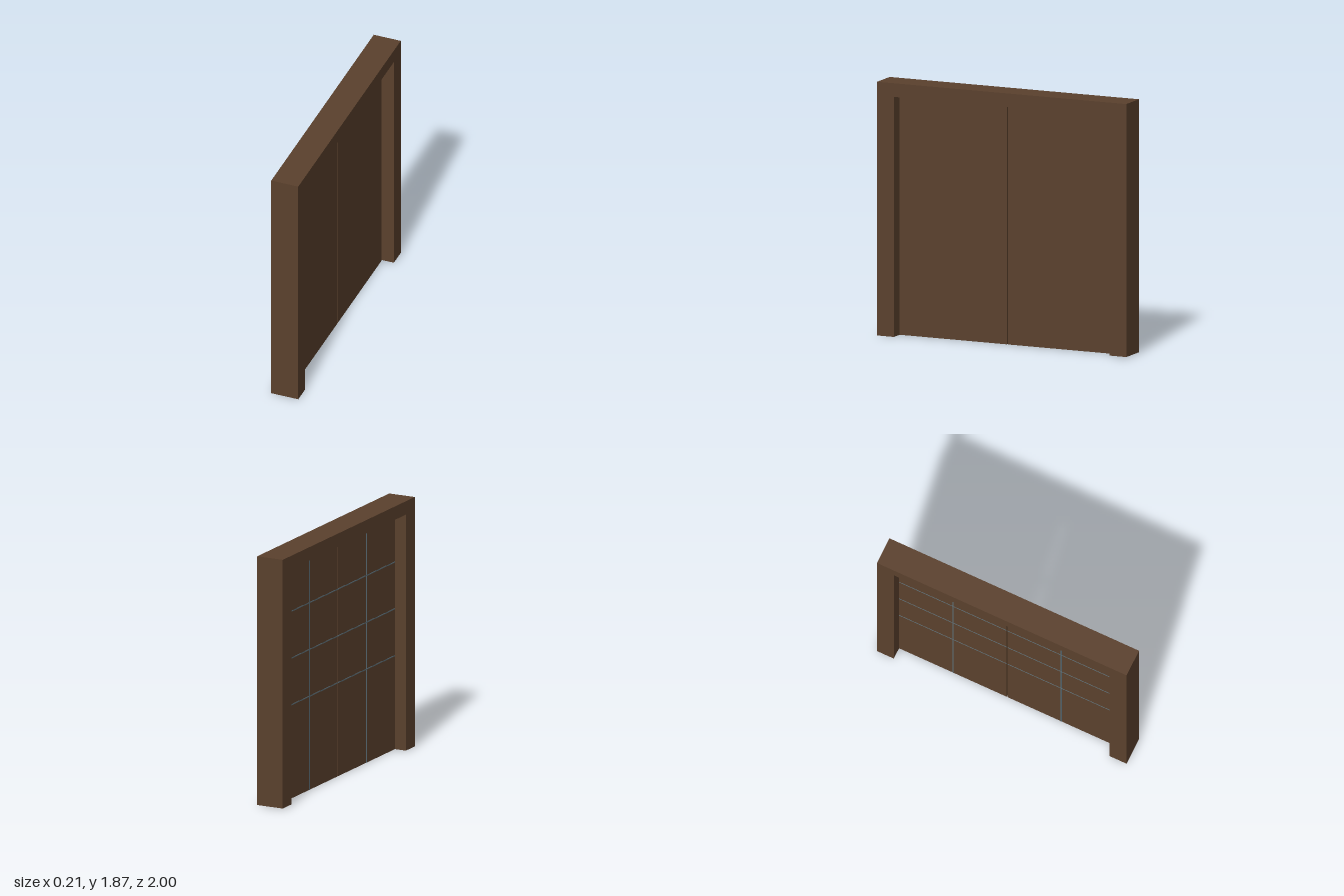
import * as THREE from 'three';

const DEPTH = 0.21;       // frame depth along x
const HALF = 1;           // half of the outer width along z
const INNER = 0.865;      // half of the opening
const TOP = 1.865;
const LINTEL = 1.765;     // underside of the lintel
const DOOR_TOP = 1.752;
const GAP = 0.004;        // half of the slit between the leaves
const DOOR_MIN = -0.015, DOOR_MAX = 0.01;

export function createModel() {
  const wood = new THREE.MeshStandardMaterial({ color: 0x5b412d });
  wood.name = 'dark wood';
  const steel = new THREE.MeshStandardMaterial({ color: 0x5f737c });
  steel.name = 'blue grey bar';

  const model = new THREE.Group();
  model.name = 'doorway';

  function box(parent, name, material, x0, x1, y0, y1, z0, z1) {
    const mesh = new THREE.Mesh(new THREE.BoxGeometry(x1 - x0, y1 - y0, z1 - z0), material);
    mesh.position.set((x0 + x1) / 2, (y0 + y1) / 2, (z0 + z1) / 2);
    mesh.name = name;
    parent.add(mesh);
  }

  // Frame: one upside-down U, extruded through the wall
  const outline = [
    [-HALF, 0.005], [-INNER, 0.005], [-INNER, LINTEL], [INNER, LINTEL],
    [INNER, 0], [HALF, 0], [HALF, TOP], [-HALF, TOP],
  ].map(([z, y]) => new THREE.Vector2(z, y));
  const frameGeometry = new THREE.ExtrudeGeometry(new THREE.Shape(outline), { depth: DEPTH, bevelEnabled: false });
  frameGeometry.rotateY(-Math.PI / 2);
  frameGeometry.translate(DEPTH / 2, 0, 0);
  const frame = new THREE.Mesh(frameGeometry, wood);
  frame.name = 'frame';
  model.add(frame);

  // Two leaves, each with thin bars on the back (-x) face
  for (const side of [-1, 1]) {
    const leaf = new THREE.Group();
    leaf.name = side > 0 ? 'frontLeaf' : 'rearLeaf';
    const z0 = side > 0 ? GAP : -INNER;
    const z1 = side > 0 ? INNER : -GAP;
    box(leaf, 'panel', wood, DOOR_MIN, DOOR_MAX, 0, DOOR_TOP, z0, z1);

    const barX = DOOR_MIN - 0.002;
    const middle = side * 0.433;
    box(leaf, 'uprightBar', steel, barX, DOOR_MIN, 0, DOOR_TOP, middle - 0.005, middle + 0.005);
    for (const y of [0.7, 1.05, 1.4]) {
      box(leaf, 'crossBar', steel, barX, DOOR_MIN, y - 0.004, y + 0.004, z0, z1);
    }
    model.add(leaf);
  }

  return model;
}
